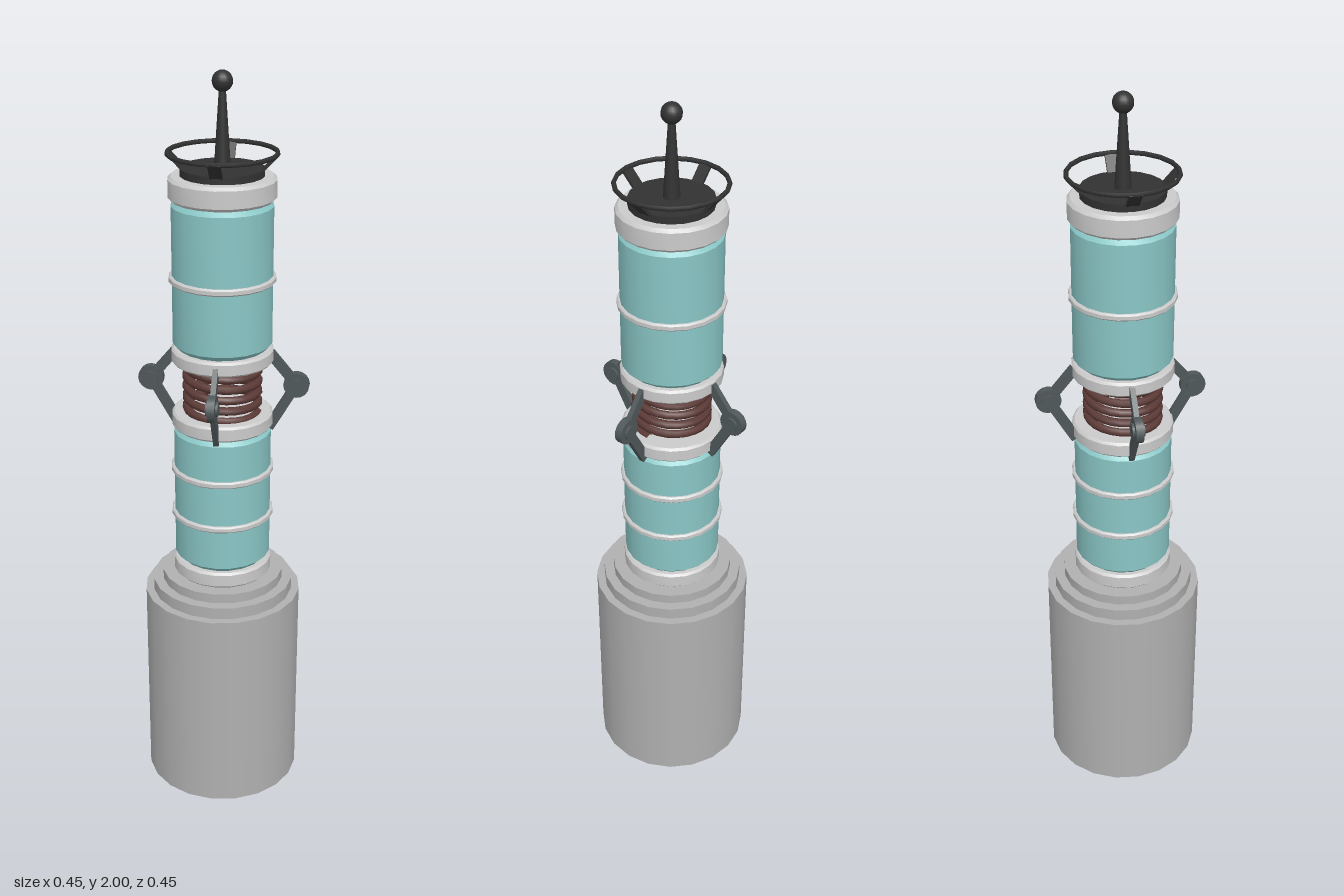
import * as THREE from 'three';
import { toCreasedNormals } from 'three/addons/utils/BufferGeometryUtils.js';

const mat = (color) => new THREE.MeshStandardMaterial({ color });
const SIDES = 20;

export function createModel() {
  const model = new THREE.Group();
  const mast = new THREE.Group();
  mast.name = 'mast';
  mast.position.set(-0.002, 0, 0.005);
  model.add(mast);

  const base = mat(0xb0b0b0), grey = mat(0xcccccc), teal = mat(0x8ac6c6);
  const dark = mat(0x323232), steel = mat(0x50585a), copper = mat(0x5c3a36);

  const add = (name, geometry, material, parent = mast) => {
    const mesh = new THREE.Mesh(geometry, material);
    mesh.name = name;
    parent.add(mesh);
    return mesh;
  };

  // Closed turned part between two heights, with a small bevel at both rims
  const turned = (name, r, y0, y1, bevel, material) => {
    const profile = [
      [0, y0], [r - bevel, y0], [r, y0 + bevel],
      [r, y1 - bevel], [r - bevel, y1], [0, y1],
    ].map(([x, y]) => new THREE.Vector2(x, y));
    return add(name, toCreasedNormals(new THREE.LatheGeometry(profile, SIDES), 0.6), material);
  };

  // Plain cylinder between two heights
  const drum = (name, r, y0, y1, material, rTop = r) => {
    const mesh = add(name, new THREE.CylinderGeometry(rTop, r, y1 - y0, SIDES), material);
    mesh.position.y = (y0 + y1) / 2;
    return mesh;
  };

  // Stepped base
  drum('base', 0.215, 0, 0.587, base);
  drum('baseStepLower', 0.193, 0.587, 0.62, base);
  drum('baseStepUpper', 0.166, 0.62, 0.647, base);

  // Collars, barrels and bands
  turned('bottomCollar', 0.134, 0.647, 0.692, 0.006, grey);
  turned('lowerBarrel', 0.13, 0.692, 1.08, 0.014, teal);
  turned('springCollarLower', 0.134, 1.08, 1.122, 0.006, grey);
  turned('springCollarUpper', 0.134, 1.26, 1.3, 0.006, grey);
  turned('upperBarrel', 0.13, 1.3, 1.687, 0.014, teal);
  turned('topCollar', 0.137, 1.687, 1.747, 0.008, grey);
  for (const y of [0.826, 0.957, 1.485]) turned('band', 0.138, y - 0.009, y + 0.009, 0.004, grey);

  // Coil spring between the barrels
  const turns = 5, coil = [];
  for (let i = 0; i <= turns * 16; i++) {
    const a = (i / 16) * Math.PI * 2;
    coil.push(new THREE.Vector3(0.095 * Math.cos(a), 1.118 + (i / (turns * 16)) * 0.145, 0.095 * Math.sin(a)));
  }
  add('spring', new THREE.TubeGeometry(new THREE.CatmullRomCurve3(coil), turns * 24, 0.011, 8), copper);

  // Four hinged arms around the spring
  const bar = (name, from, to, width, depth, material, parent) => {
    const a = new THREE.Vector2(...from), b = new THREE.Vector2(...to), d = b.clone().sub(a);
    const mesh = add(name, new THREE.BoxGeometry(d.length(), width, depth), material, parent);
    mesh.position.set((a.x + b.x) / 2, (a.y + b.y) / 2, 0);
    mesh.rotation.z = Math.atan2(d.y, d.x);
    return mesh;
  };
  for (let i = 0; i < 4; i++) {
    const arm = new THREE.Group();
    arm.name = 'hingedArm';
    arm.rotation.y = (i * Math.PI) / 2;
    model.add(arm);
    const joint = [0.193, 1.2];
    bar('upperLink', joint, [0.122, 1.285], 0.026, 0.014, steel, arm);
    bar('lowerLink', joint, [0.122, 1.075], 0.026, 0.014, steel, arm);
    for (const [name, r, depth] of [['hingeDisc', 0.034, 0.02], ['hingePin', 0.019, 0.032]]) {
      const disc = add(name, new THREE.CylinderGeometry(r, r, depth, 16), steel, arm);
      disc.rotation.x = Math.PI / 2;
      disc.position.set(...joint, 0);
    }
  }

  // Top plate, ring and its four flat struts
  drum('topPlate', 0.106, 1.747, 1.766, dark);
  const ring = add('ring', new THREE.TorusGeometry(0.137, 0.006, 6, SIDES), dark);
  ring.rotation.x = Math.PI / 2;
  ring.position.y = 1.802;
  for (let i = 0; i < 4; i++) {
    const strut = new THREE.Group();
    strut.name = 'ringStrut';
    strut.rotation.y = (i * Math.PI) / 2;
    mast.add(strut);
    bar('strutStrip', [0.098, 1.759], [0.138, 1.802], 0.007, 0.032, dark, strut);
  }

  // Antenna
  drum('antenna', 0.021, 1.766, 1.965, dark, 0.008);
  add('antennaBall', new THREE.SphereGeometry(0.026, 16, 12), dark).position.y = 1.974;

  return model;
}
